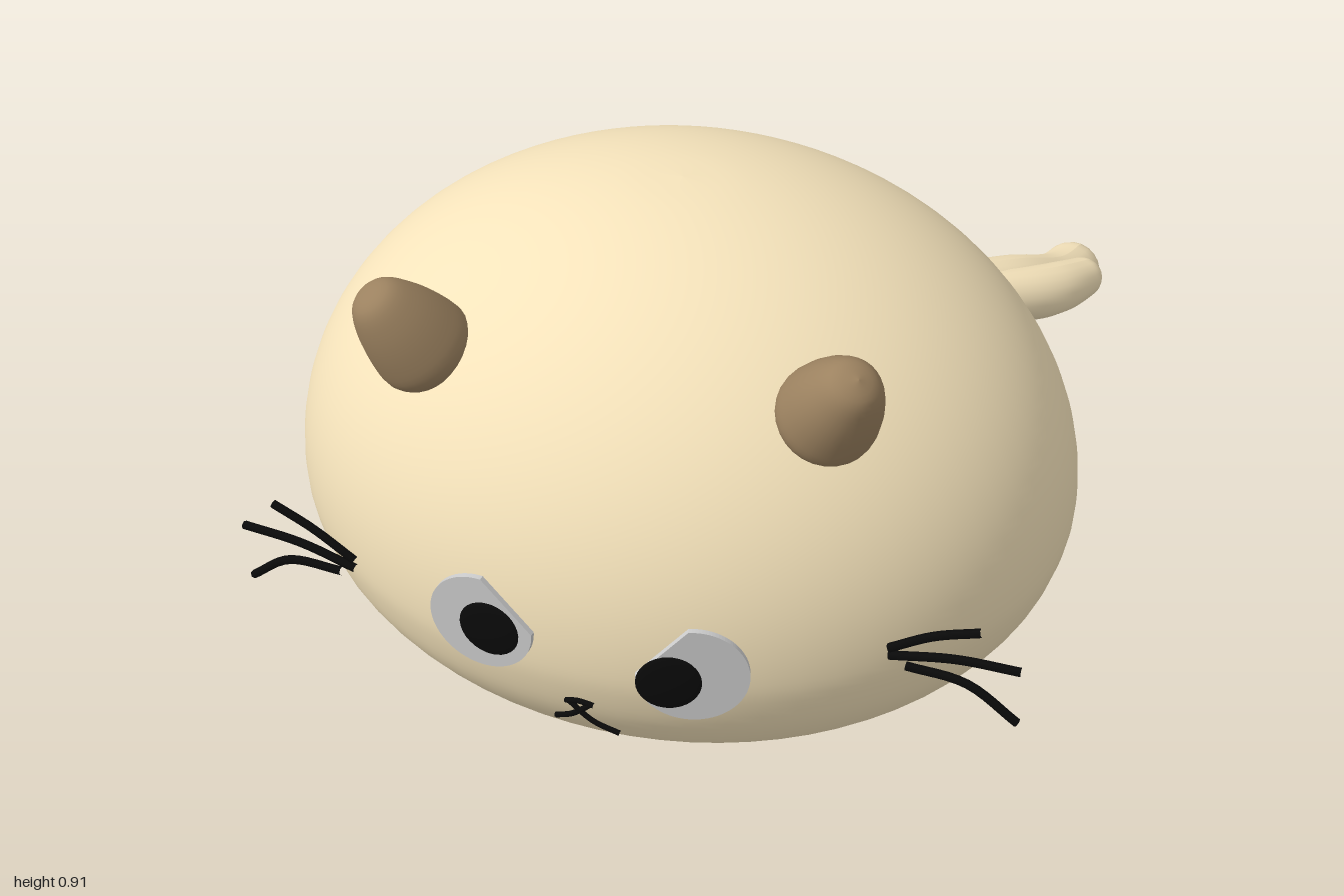
import * as THREE from 'three';

const V = (a) => new THREE.Vector3(...a);
const mat = (color) => new THREE.MeshStandardMaterial({ color });
const cream = mat(0xf5e3bb), brown = mat(0x9c8260), black = mat(0x0a0a0a), grey = mat(0xcccccc);

function add(parent, name, geometry, material) {
  const mesh = new THREE.Mesh(geometry, material);
  mesh.name = name;
  parent.add(mesh);
  return mesh;
}

// Tube along a spline whose radius follows a list of values, with rounded ends
function taperedTube(points, radii, segments = 48, sides = 20) {
  const curve = new THREE.CatmullRomCurve3(points.map(V));
  const geo = new THREE.TubeGeometry(curve, segments, 1, sides);
  const profile = new THREE.SplineCurve(radii.map((r, i) => new THREE.Vector2(i, r)));
  const pos = geo.attributes.position, p = V([0, 0, 0]), c = V([0, 0, 0]);
  const length = curve.getLength();
  for (let i = 0; i <= segments; i++) {
    const t = i / segments;
    const full = profile.getPoint(t).y;
    const end = Math.min(1, (Math.min(t, 1 - t) * length) / full);
    const r = full * Math.sqrt(1 - (1 - end) ** 2);
    curve.getPointAt(t, c);
    for (let j = 0; j <= sides; j++) {
      const k = i * (sides + 1) + j;
      p.fromBufferAttribute(pos, k).sub(c).multiplyScalar(r).add(c);
      pos.setXYZ(k, p.x, p.y, p.z);
    }
  }
  geo.computeVertexNormals();
  return geo;
}

function stroke(parent, name, points, radius) {
  const curve = new THREE.CatmullRomCurve3(points.map(V));
  add(parent, name, new THREE.TubeGeometry(curve, 12, radius, 6), black);
}

export function createModel() {
  const cat = new THREE.Group();
  cat.name = 'roundCat';

  // Body: flat-bottomed dome, elliptical in plan
  const rim = [[0, 0.004], [0.3, 0.004], [0.5, 0.005], [0.62, 0.012], [0.765, 0.04], [0.87, 0.1], [0.95, 0.18], [0.99, 0.26]];
  for (let i = 0; i <= 12; i++) {
    const a = (i / 12) * Math.PI / 2;
    rim.push([Math.cos(a), 0.325 + 0.59 * Math.sin(a)]);
  }
  const outline = new THREE.SplineCurve(rim.map((p) => new THREE.Vector2(...p))).getPoints(80);
  outline.forEach((p) => { p.x = Math.max(0, p.x); });
  const bodyGeo = new THREE.LatheGeometry(outline, 72);
  bodyGeo.scale(0.745, 1, 0.645);
  add(cat, 'body', bodyGeo, cream).position.set(-0.023, 0, 0.295);

  // Tiny nubs under the body
  for (const x of [-0.43, 0.4]) for (const z of [0.05, 0.54]) {
    const nub = add(cat, 'footNub', new THREE.SphereGeometry(0.035, 16, 10), cream);
    nub.scale.y = 0.5;
    nub.position.set(x, 0.022, z);
  }

  // Ears: blunt rounded cones leaning outwards and forwards
  const earProfile = new THREE.SplineCurve(
    [[0, -0.05], [0.06, -0.045], [0.088, -0.01], [0.084, 0.04], [0.066, 0.1], [0.04, 0.145], [0, 0.16]]
      .map((p) => new THREE.Vector2(...p))).getPoints(28);
  earProfile.forEach((p) => { p.x = Math.max(0, p.x); });
  const earGeo = new THREE.LatheGeometry(earProfile, 28);
  for (const [name, base, lean] of [
    ['rightEar', [-0.342, 0.727, 0.695], [-0.38, 0.8, 0.38]],
    ['leftEar', [0.375, 0.727, 0.63], [0.46, 0.8, 0.38]],
  ]) {
    const ear = add(cat, name, earGeo, brown);
    ear.position.set(...base);
    ear.quaternion.setFromUnitVectors(V([0, 1, 0]), V(lean).normalize());
  }

  // Eyes: thin discs cut by a slanting brow, with domed pupils
  for (const [side, eyeAt, pupilAt, turn, start] of [
    ['right', [-0.125, 0.378, 0.943], [-0.1, 0.385, 0.97], 0, Math.PI * 0.48],
    ['left', [0.258, 0.378, 0.937], [0.232, 0.382, 0.978], 0.36, Math.PI],
  ]) {
    const disc = new THREE.Shape();
    disc.absarc(0, 0, 0.095, start, start + Math.PI * 1.52, false);
    disc.closePath();
    const eye = add(cat, side + 'Eye',
      new THREE.ExtrudeGeometry(disc, { depth: 0.01, bevelEnabled: false, curveSegments: 40 }), grey);
    eye.position.set(...eyeAt);
    eye.rotation.y = turn;
    const pupil = add(cat, side + 'Pupil', new THREE.SphereGeometry(0.055, 32, 16), black);
    pupil.scale.z = 0.13;
    pupil.position.set(...pupilAt);
    pupil.rotation.y = turn;
  }

  // Mouth
  const m = 0.948;
  stroke(cat, 'nose', [[0.025, 0.248, m], [0.05, 0.254, m], [0.078, 0.252, m]], 0.005);
  stroke(cat, 'mouthRight', [[0.005, 0.207, m], [0.035, 0.22, m], [0.075, 0.255, m]], 0.005);
  stroke(cat, 'mouthLeft', [[0.03, 0.25, m], [0.075, 0.217, m], [0.125, 0.205, m]], 0.005);

  // Whiskers: three on each cheek
  stroke(cat, 'rightWhisker', [[-0.57, 0.445, 0.873], [-0.49, 0.415, 0.877], [-0.41, 0.37, 0.88]], 0.008);
  stroke(cat, 'rightWhisker', [[-0.64, 0.375, 0.87], [-0.52, 0.373, 0.875], [-0.41, 0.352, 0.88]], 0.008);
  stroke(cat, 'rightWhisker', [[-0.635, 0.262, 0.87], [-0.55, 0.325, 0.874], [-0.44, 0.336, 0.879]], 0.008);
  stroke(cat, 'leftWhisker', [[0.535, 0.368, 0.75], [0.61, 0.413, 0.745], [0.69, 0.442, 0.74]], 0.008);
  stroke(cat, 'leftWhisker', [[0.535, 0.352, 0.75], [0.65, 0.373, 0.742], [0.76, 0.375, 0.735]], 0.008);
  stroke(cat, 'leftWhisker', [[0.565, 0.336, 0.748], [0.67, 0.325, 0.741], [0.76, 0.262, 0.735]], 0.008);

  // Tail: drooping, with a smaller second lobe near the tip
  add(cat, 'tail', taperedTube(
    [[-0.06, 0.24, -0.29], [0.06, 0.245, -0.355], [0.16, 0.243, -0.45], [0.23, 0.215, -0.56], [0.33, 0.17, -0.69], [0.4, 0.11, -0.84], [0.425, 0.082, -1.0]],
    [0.05, 0.055, 0.054, 0.066, 0.075, 0.07, 0.066]), cream);
  add(cat, 'tailLobe', taperedTube(
    [[0.22, 0.22, -0.53], [0.33, 0.195, -0.62], [0.42, 0.17, -0.72], [0.487, 0.145, -0.865]],
    [0.04, 0.055, 0.058, 0.042]), cream);

  return cat;
}
